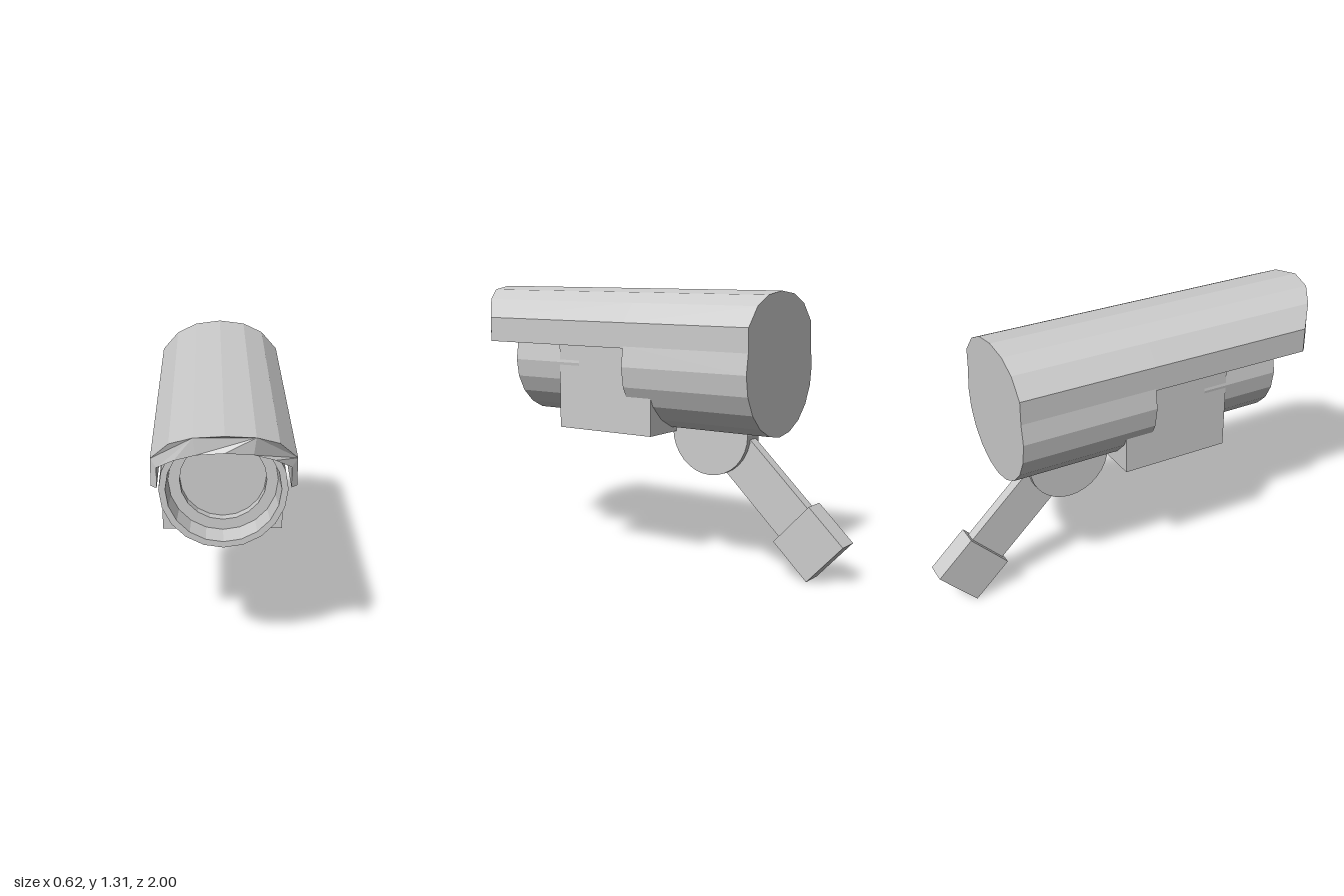
import * as THREE from 'three';

const AXIS_Y = 0.95; // height of the camera barrel's axis

export function createModel() {
  const group = new THREE.Group();
  const mat = new THREE.MeshStandardMaterial({ color: 0xcccccc, flatShading: true });
  const add = (name, geometry, x = 0, y = 0, z = 0) => {
    const mesh = new THREE.Mesh(geometry, mat);
    mesh.name = name;
    mesh.position.set(x, y, z);
    group.add(mesh);
    return mesh;
  };

  // Rear body: 20-sided drum
  const body = new THREE.CylinderGeometry(0.31, 0.31, 0.67, 20).rotateX(Math.PI / 2);
  add('rearBody', body, 0, AXIS_Y, -0.315);

  // Front barrel with rim, recess and lens disc
  const profile = [
    [0.273, 0.3], [0.273, 0.7], [0.245, 0.7], [0.236, 0.6],
    [0.187, 0.6], [0.187, 0.56], [0, 0.56],
  ].map(([r, z]) => new THREE.Vector2(r, z));
  add('lensBarrel', new THREE.LatheGeometry(profile, 20).rotateX(Math.PI / 2), 0, AXIS_Y, 0);

  // Box housing under and around the barrel
  add('housing', new THREE.BoxGeometry(0.542, 0.406, 0.54), 0, 0.833, 0.15);

  // Hood: half sections are mirrored across x
  const mirror = (half) => [...half, ...half.slice(0, -1).reverse().map(([x, y]) => [-x, y])];
  const toShape = (pts) => new THREE.Shape(pts.map(([x, y]) => new THREE.Vector2(x, y)));
  const outer = mirror([[0.295, 1.036], [0.295, 1.155], [0.218, 1.244], [0.123, 1.29], [0, 1.306]]);
  const inner = mirror([[0.27, 1.036], [0.27, 1.125], [0.2, 1.178], [0.113, 1.22], [0, 1.236]]);

  // Solid part of the hood over the rear body
  add('hoodRear', new THREE.ExtrudeGeometry(toShape(outer), { depth: 0.67, bevelEnabled: false }), 0, 0, -0.65);

  // Open visor, its front edge swept back towards the sides
  const visor = new THREE.ExtrudeGeometry(toShape([...outer, ...inner.slice().reverse()]), {
    depth: 1, bevelEnabled: false,
  });
  const pos = visor.attributes.position;
  for (let i = 0; i < pos.count; i++) {
    const front = 1 - 0.15 * (pos.getX(i) / 0.295) ** 2;
    pos.setZ(i, pos.getZ(i) > 0.5 ? front : 0.02);
  }
  visor.computeVertexNormals();
  add('hoodVisor', visor);

  // Mount: round knuckle, slanted arm and wall block
  const knuckle = new THREE.CylinderGeometry(0.206, 0.206, 0.106, 32).rotateZ(Math.PI / 2);
  add('mountKnuckle', knuckle, 0, 0.641, -0.307);

  const tilt = -0.76;
  const mount = new THREE.Group();
  mount.name = 'mountArmAssembly';
  mount.position.set(0, 0.175, -0.828);
  mount.rotation.x = tilt;
  const arm = new THREE.Mesh(new THREE.BoxGeometry(0.052, 0.208, 0.47), mat);
  arm.name = 'mountArm';
  arm.position.z = 0.34;
  const block = new THREE.Mesh(new THREE.BoxGeometry(0.106, 0.256, 0.236), mat);
  block.name = 'wallBlock';
  mount.add(arm, block);
  group.add(mount);

  return group;
}
